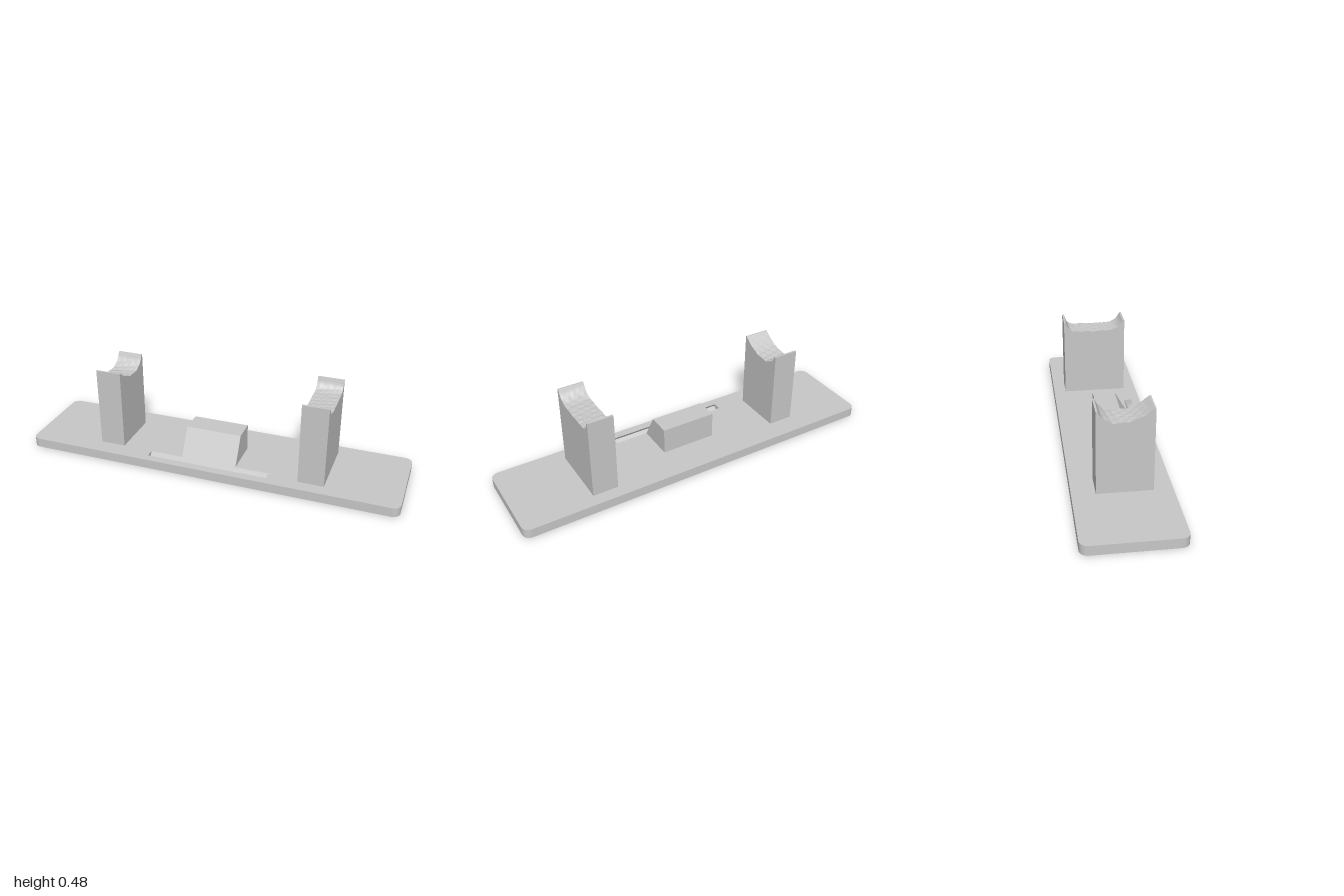
import * as THREE from 'three';

const grey = new THREE.MeshStandardMaterial({ color: 0xc8c8c8 });
grey.name = 'light grey';

// Extrude a side profile of [z, y] points along x, from x0 to x1
function alongX(points, x0, x1, steps = 1) {
  const shape = new THREE.Shape(points.map(([z, y]) => new THREE.Vector2(-z, y)));
  return new THREE.ExtrudeGeometry(shape, { depth: x1 - x0, steps, bevelEnabled: false })
    .rotateY(Math.PI / 2)
    .translate(x0, 0, 0);
}

function add(parent, name, geometry) {
  const mesh = new THREE.Mesh(geometry, grey);
  mesh.name = name;
  parent.add(mesh);
  return mesh;
}

// End of the base plate, with rounded outer corners
function baseEnd(inner, outer, half, height, r) {
  const s = new THREE.Shape();
  s.moveTo(inner, -half);
  s.lineTo(outer - r, -half);
  s.absarc(outer - r, -half + r, r, -Math.PI / 2, 0, false);
  s.lineTo(outer, half - r);
  s.absarc(outer - r, half - r, r, 0, Math.PI / 2, false);
  s.lineTo(inner, half);
  return new THREE.ExtrudeGeometry(s, { depth: height, bevelEnabled: false, curveSegments: 8 })
    .rotateX(-Math.PI / 2);
}

// Post whose top is a slightly rough saddle; rim lists [z, y] from front to back
function cradle(rim, x0, x1) {
  const front = rim[0][0], back = rim[rim.length - 1][0], top = rim[0][1];
  const curve = new THREE.CatmullRomCurve3(
    rim.slice(1, -1).map(([z, y]) => new THREE.Vector3(0, y, z)), false, 'centripetal');
  const saddle = curve.getPoints(32).map(p => [p.z, p.y]);
  const g = alongX([[back, 0.05], [front, 0.05], rim[0], ...saddle, rim[rim.length - 1]], x0, x1, 8);
  const p = g.attributes.position;
  for (let i = 0; i < p.count; i++) {
    const x = p.getX(i), y = p.getY(i), z = p.getZ(i);
    if (y < 0.1) continue;
    const depth = Math.min(1, Math.max(0, (top - y) / 0.05));
    p.setY(i, y + 0.0025 * depth * Math.sin(x * 90 + z * 40) * Math.cos(z * 130 - x * 50));
  }
  g.computeVertexNormals();
  return g;
}

export function createModel() {
  const model = new THREE.Group();
  model.name = 'displayStand';

  // Base plate: two rounded ends and a middle with a slanted slot
  const base = new THREE.Group();
  base.name = 'basePlate';
  model.add(base);
  const slotHalf = 0.325;
  add(base, 'leftEnd', baseEnd(slotHalf, 1, 0.24, 0.05, 0.04));
  add(base, 'rightEnd', baseEnd(slotHalf, 1, 0.24, 0.05, 0.04)).rotation.y = Math.PI;
  add(base, 'slottedMiddle', alongX([
    [-0.24, 0], [0.24, 0], [0.24, 0.05], [0.195, 0.05],
    [0.204, 0.034], [0.17, 0.015], [0.15, 0.05], [-0.24, 0.05],
  ], -slotHalf, slotHalf));

  // Back rest whose sloped face runs down into the slot
  add(model, 'backRest', alongX(
    [[-0.05, 0.05], [0.15, 0.05], [0.07, 0.192], [-0.05, 0.192]], -0.148, 0.148));

  // Two cradle posts
  add(model, 'leftCradle', cradle([
    [0.173, 0.481], [0.163, 0.481], [0.15, 0.459], [0.13, 0.439], [0.1, 0.426], [0.05, 0.423],
    [0, 0.422], [-0.06, 0.423], [-0.115, 0.425], [-0.14, 0.435], [-0.153, 0.452],
    [-0.162, 0.481], [-0.173, 0.481],
  ], 0.482, 0.617));
  add(model, 'rightCradle', cradle([
    [0.147, 0.475], [0.139, 0.475], [0.105, 0.449], [0.055, 0.424], [0.01, 0.414],
    [-0.04, 0.413], [-0.075, 0.425], [-0.1, 0.445], [-0.115, 0.475], [-0.125, 0.475],
  ], -0.621, -0.486));

  return model;
}
